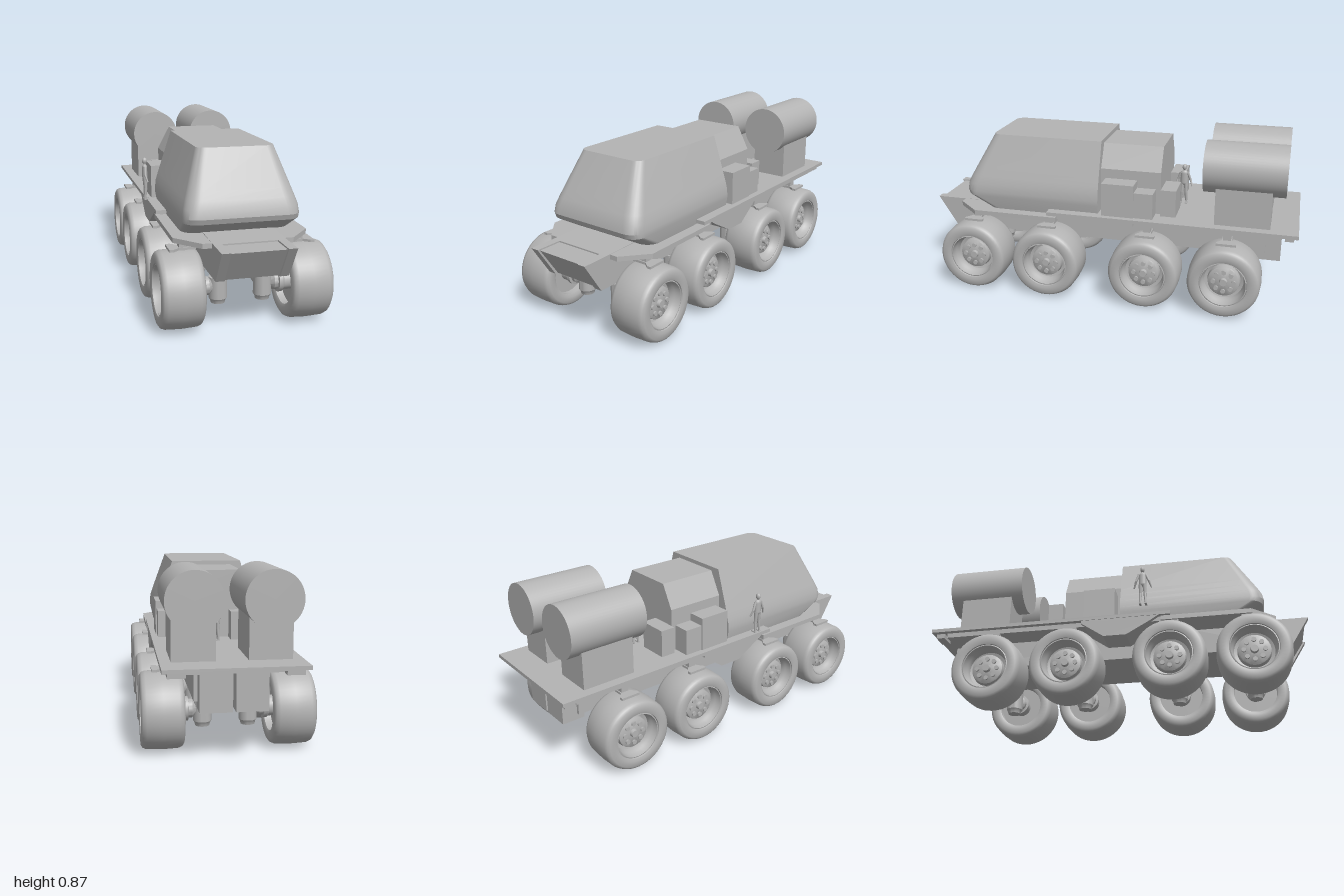
import * as THREE from 'three';
import { toCreasedNormals } from 'three/addons/utils/BufferGeometryUtils.js';

const grey = new THREE.MeshStandardMaterial({ color: 0xb4b4b4 });
grey.name = 'grey';

function add(parent, name, geo, x = 0, y = 0, z = 0) {
  const mesh = new THREE.Mesh(geo, grey);
  mesh.name = name;
  mesh.position.set(x, y, z);
  parent.add(mesh);
  return mesh;
}

// Box given by its limits
function box(parent, name, x0, x1, y0, y1, z0, z1) {
  return add(parent, name, new THREE.BoxGeometry(Math.abs(x1 - x0), y1 - y0, Math.abs(z1 - z0)),
    (x0 + x1) / 2, (y0 + y1) / 2, (z0 + z1) / 2);
}

function extrude(points, depth) {
  const shape = new THREE.Shape(points.map(p => new THREE.Vector2(...p)));
  return new THREE.ExtrudeGeometry(shape, { depth, bevelEnabled: false });
}

// Side profile of [z, y] points, stretched across x
const prism = (points, x0, x1) => extrude(points, x1 - x0).rotateY(-Math.PI / 2).translate(x1, 0, 0);

const lathe = (points, sides = 40) =>
  toCreasedNormals(new THREE.LatheGeometry(points.map(p => new THREE.Vector2(...p)), sides), 0.6);

// Cab shell: rounded outlines [y, half width, front z, corner radius] joined upward
function cabGeometry(levels, back) {
  const steps = 8, pos = [], idx = [];
  for (const [y, w, front, r] of levels) {
    pos.push(w, y, back);
    for (const s of [1, -1]) {
      for (let i = 0; i <= steps; i++) {
        const a = (s > 0 ? i : steps - i) / steps * Math.PI / 2;
        pos.push(s * (w - r + r * Math.cos(a)), y, front - r + r * Math.sin(a));
      }
    }
    pos.push(-w, y, back);
  }
  const n = 2 * (steps + 1) + 2, top = (levels.length - 1) * n;
  for (let k = 0; k < levels.length - 1; k++) {
    for (let i = 0; i < n; i++) {
      const a = k * n + i, b = k * n + (i + 1) % n;
      idx.push(a, a + n, b, b, a + n, b + n);
    }
  }
  for (let i = 1; i < n - 1; i++) idx.push(0, i, i + 1, top, top + i + 1, top + i);
  const geo = new THREE.BufferGeometry();
  geo.setAttribute('position', new THREE.Float32BufferAttribute(pos, 3));
  geo.setIndex(idx);
  return toCreasedNormals(geo, 0.45);
}

// Wheel with its drive leg, built for the +x side
function wheelUnit() {
  const unit = new THREE.Group();
  unit.name = 'wheelUnit';
  const wheel = new THREE.Group();
  wheel.name = 'wheel';
  wheel.position.set(0.305, 0.193, 0);
  wheel.rotation.z = -Math.PI / 2;
  unit.add(wheel);
  add(wheel, 'tire', lathe([[0.118, -0.06], [0.12, -0.094], [0.135, -0.101], [0.165, -0.1], [0.177, -0.092],
    [0.184, -0.075], [0.1875, 0], [0.184, 0.075], [0.177, 0.092], [0.165, 0.1], [0.135, 0.101], [0.122, 0.097],
    [0.119, 0.085]], 48));
  add(wheel, 'rim', lathe([[0, -0.06], [0.119, -0.06], [0.121, 0.09], [0.115, 0.092], [0.108, 0.06], [0.104, 0.055],
    [0.1, 0.03], [0.084, 0.025], [0.08, 0.05], [0.074, 0.054], [0, 0.054]]));
  add(wheel, 'hubCap', new THREE.CylinderGeometry(0.018, 0.022, 0.02, 20), 0, 0.06, 0);
  for (let i = 0; i < 8; i++) {
    const a = i / 8 * Math.PI * 2;
    add(wheel, 'lug', new THREE.CylinderGeometry(0.012, 0.012, 0.012, 12), Math.cos(a) * 0.052, 0.057, Math.sin(a) * 0.052);
  }
  // Drive housing flaring from the leg into the rim
  const housing = add(unit, 'driveHousing', lathe([[0.028, 0.12], [0.03, 0.143], [0.045, 0.16], [0.045, 0.178],
    [0.058, 0.18], [0.058, 0.198], [0.05, 0.205], [0.05, 0.25]], 28), 0, 0.193, 0);
  housing.rotation.z = -Math.PI / 2;
  add(unit, 'suspensionLeg', lathe([[0, 0.108], [0.034, 0.108], [0.037, 0.122], [0.044, 0.132], [0.044, 0.235],
    [0.03, 0.235], [0.03, 0.3]], 28), 0.11, 0, 0);
  // Bracket reaching over the tire from the deck
  const bracket = extrude([[0.22, -0.025], [0.3, -0.025], [0.33, -0.05], [0.35, -0.05], [0.35, 0.05], [0.33, 0.05],
    [0.3, 0.025], [0.22, 0.025]], 0.012).rotateX(-Math.PI / 2);
  add(unit, 'bracket', bracket, 0, 0.383, 0);
  box(unit, 'bracketPost', 0.26, 0.3, 0.38, 0.43, -0.02, 0.02);
  return unit;
}

// Standing figure facing +x with arms held out
function figure(x, y, z) {
  const g = new THREE.Group();
  g.name = 'standingFigure';
  g.position.set(x, y, z);
  add(g, 'head', new THREE.SphereGeometry(0.014, 14, 10).scale(0.95, 1.2, 0.8), 0, 0.203, 0);
  add(g, 'neck', new THREE.CylinderGeometry(0.006, 0.007, 0.02, 10), 0, 0.184, 0);
  add(g, 'torso', new THREE.CapsuleGeometry(0.018, 0.05, 4, 12).scale(0.75, 1, 1.1), 0, 0.143, 0);
  const limb = (name, a, b, r0, r1) => {
    const from = new THREE.Vector3(...a), to = new THREE.Vector3(...b), dir = to.clone().sub(from);
    const m = add(g, name, new THREE.CylinderGeometry(r1, r0, dir.length(), 10));
    m.position.copy(from.add(to).multiplyScalar(0.5));
    m.quaternion.setFromUnitVectors(new THREE.Vector3(0, 1, 0), dir.normalize());
  };
  for (const s of [1, -1]) {
    limb('thigh', [0, 0.115, s * 0.01], [0.002, 0.06, s * 0.012], 0.0115, 0.008);
    limb('shin', [0.002, 0.062, s * 0.012], [-0.002, 0.005, s * 0.015], 0.009, 0.005);
    limb('upperArm', [0, 0.174, s * 0.018], [-0.003, 0.132, s * 0.034], 0.0075, 0.006);
    limb('forearm', [-0.003, 0.133, s * 0.034], [0.008, 0.098, s * 0.046], 0.006, 0.004);
    add(g, 'foot', new THREE.BoxGeometry(0.03, 0.006, 0.011), 0.007, 0.003, s * 0.015);
  }
  return g;
}

export function createModel() {
  const model = new THREE.Group();
  model.name = 'eightWheeledRover';

  // Hull with an inset prow between two side walls
  add(model, 'hull', prism([[0.86, 0.437], [0.86, 0.278], [-0.84, 0.278], [-0.84, 0.447], [0.3, 0.447]], -0.172, 0.172));
  add(model, 'prowCentre', prism([[0.985, 0.43], [0.885, 0.278], [0.86, 0.278], [0.86, 0.43]], -0.13, 0.13));
  for (const s of [1, -1]) {
    const x0 = s > 0 ? 0.13 : -0.172;
    add(model, 'prowWall', prism([[1, 0.437], [0.9, 0.278], [0.86, 0.278], [0.86, 0.437]], x0, x0 + 0.042));
  }

  // Decks
  const front = [[-0.325, -0.25], [-0.325, -0.71], [-0.215, -0.835], [0.215, -0.835], [0.325, -0.71], [0.325, -0.25]];
  add(model, 'frontDeck', extrude(front, 0.024).rotateX(-Math.PI / 2), 0, 0.413, 0);
  box(model, 'rearDeck', -0.325, 0.325, 0.445, 0.464, -1, 0.3);
  box(model, 'deckFrame', -0.3, 0.3, 0.42, 0.446, -0.92, 0.28);
  add(model, 'sidePod', prism([[0.24, 0.446], [0.2, 0.42], [0.07, 0.347], [-0.05, 0.347], [-0.17, 0.43], [-0.17, 0.446]], -0.322, 0.322));

  // Cab and chamfered cabin behind it
  add(model, 'cab', cabGeometry([[0.437, 0.268, 0.66, 0.07], [0.505, 0.28, 0.775, 0.07], [0.53, 0.28, 0.784, 0.07],
    [0.57, 0.275, 0.777, 0.07], [0.61, 0.263, 0.758, 0.07], [0.65, 0.25, 0.736, 0.065], [0.833, 0.19, 0.635, 0.045]], 0.03));
  const section = [[-0.2, 0.45], [0.2, 0.45], [0.2, 0.69], [0.135, 0.812], [-0.135, 0.812], [-0.2, 0.69]];
  add(model, 'rearCabin', extrude(section, 0.33), 0, 0, -0.29);

  for (const s of [1, -1]) {
    // Equipment boxes beside and behind the cabin
    box(model, 'tallBox', s * 0.19, s * 0.296, 0.46, 0.64, -0.165, 0.005);
    box(model, 'mediumBox', s * 0.19, s * 0.29, 0.46, 0.6, -0.265, -0.165);
    box(model, 'rearBox', s * 0.073, s * 0.23, 0.46, 0.607, -0.375, -0.295);
    // Tank on its pedestal
    const tank = new THREE.CylinderGeometry(0.132, 0.132, 0.41, 56).rotateX(Math.PI / 2);
    add(model, 'tank', tank, s * 0.174, 0.742, -0.72);
    box(model, 'tankPedestal', s * 0.074, s * 0.274, 0.46, 0.66, -0.86, -0.58);
    // Fittings below the tail
    box(model, 'tailBox', s * 0.008, s * 0.155, 0.245, 0.446, -0.92, -0.8);
    box(model, 'tailBracket', s * 0.22, s * 0.3, 0.42, 0.446, -0.98, -0.935);
    // Wheels
    for (const z of [0.71, 0.295, -0.237, -0.652]) {
      const unit = wheelUnit();
      unit.position.z = z;
      if (s < 0) unit.rotation.y = Math.PI;
      model.add(unit);
    }
  }

  model.add(figure(-0.357, 0.496, 0.165), figure(-0.005, 0.464, -0.38));
  return model;
}
